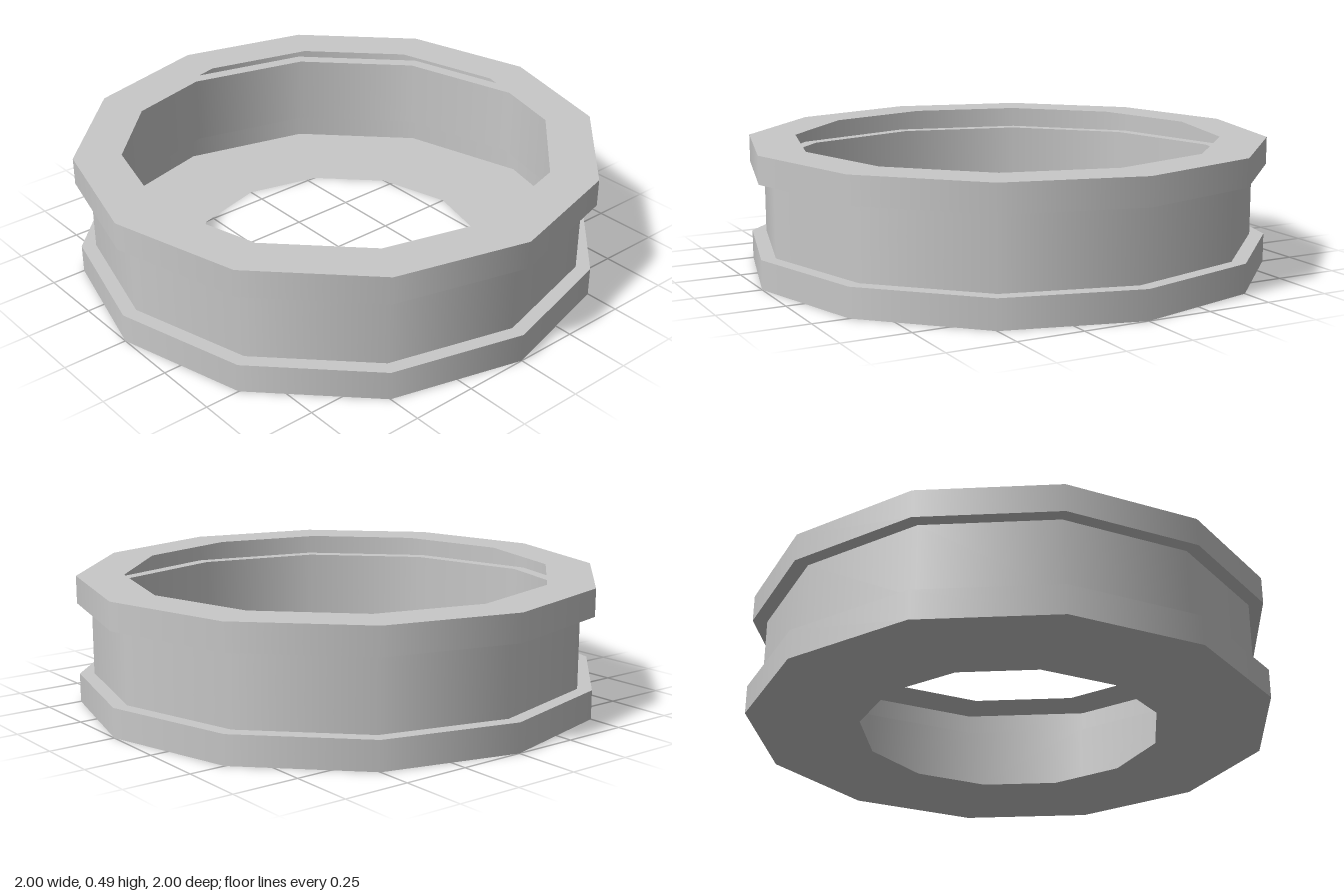
import * as THREE from 'three';

const SIDES = 12;

export function createModel() {
  const model = new THREE.Group();
  model.name = 'groovedRing';

  const grey = new THREE.MeshStandardMaterial({ color: 0xc8c8c8, side: THREE.DoubleSide });
  grey.name = 'plain grey';

  // Hollow shell profile as [radius, height], from the lower opening to the upper one
  const profile = [
    [0.575, 0], [1, 0], [1, 0.11], [0.945, 0.11],
    [0.945, 0.385], [1, 0.385], [1, 0.49], [0.82, 0.49],
  ];
  const names = [
    'bottomPlate', 'lowerRim', 'lowerLedge', 'grooveWall',
    'upperLedge', 'upperRim', 'topPlate',
  ];

  // One band per profile segment: smooth around the ring, sharp between bands
  names.forEach((name, i) => {
    const points = [profile[i], profile[i + 1]].map(([r, y]) => new THREE.Vector2(r, y));
    const band = new THREE.Mesh(new THREE.LatheGeometry(points, SIDES), grey);
    band.name = name;
    model.add(band);
  });

  return model;
}
